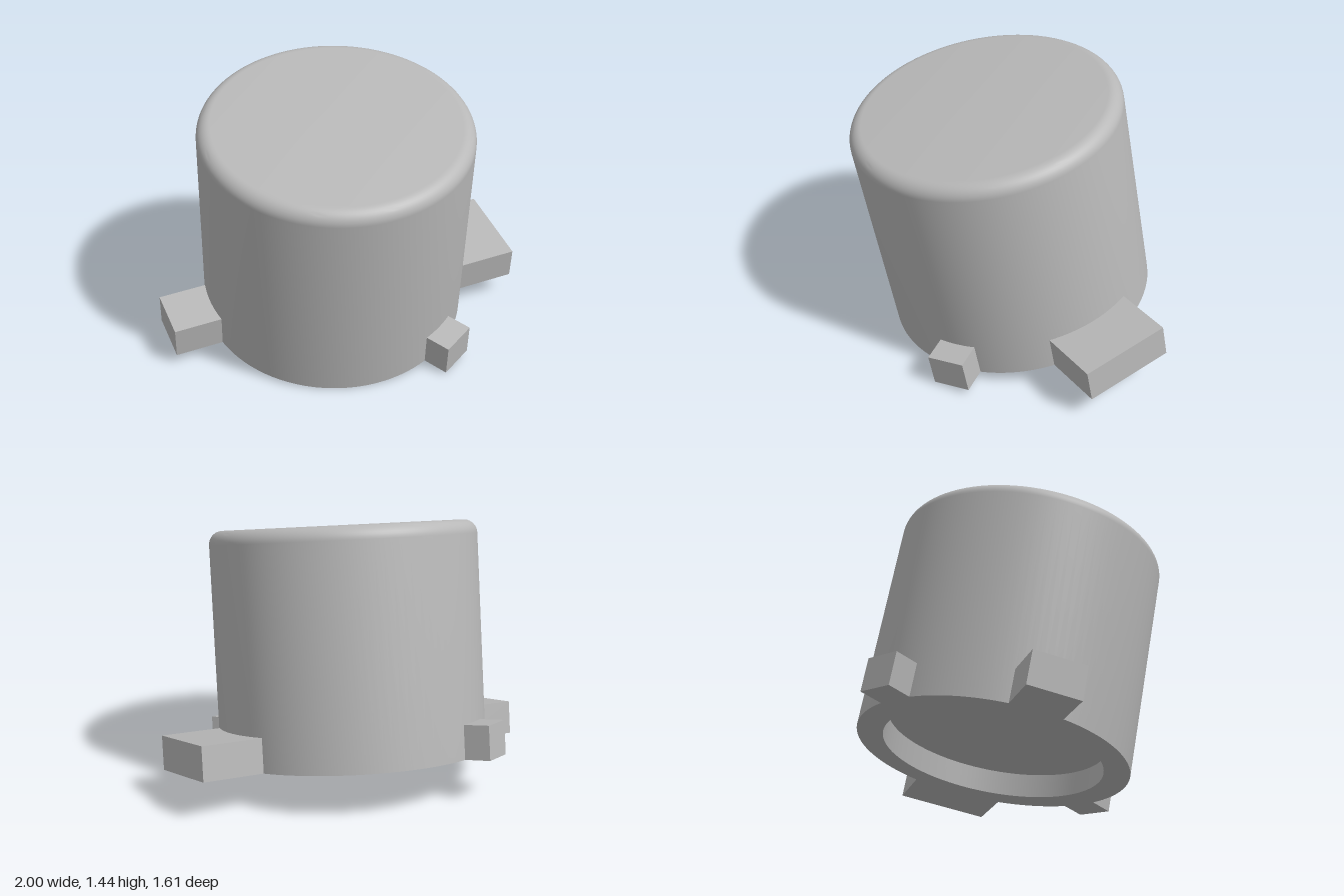
import * as THREE from 'three';
import { toCreasedNormals } from 'three/addons/utils/BufferGeometryUtils.js';

export function createModel() {
  const model = new THREE.Group();
  model.name = 'cap';
  const grey = new THREE.MeshStandardMaterial({ color: 0xb8b8b8 });
  grey.name = 'grey';

  // Leaning frame shared by the body and its tabs
  const tilted = new THREE.Group();
  tilted.name = 'tiltedCap';
  tilted.position.set(-0.035, 0.124, -0.1);
  tilted.rotation.x = THREE.MathUtils.degToRad(10);
  model.add(tilted);

  // Round body: shallow recess underneath, rounded top rim
  const R = 0.715, H = 1.222, fillet = 0.073;
  const profile = [[0, 0.13], [0.578, 0.13], [0.578, 0], [R, 0]]
    .map(([x, y]) => new THREE.Vector2(x, y));
  const steps = 10;
  for (let i = 0; i <= steps; i++) {
    const a = (i / steps) * Math.PI / 2;
    profile.push(new THREE.Vector2(R - fillet + fillet * Math.cos(a), H - fillet + fillet * Math.sin(a)));
  }
  profile.push(new THREE.Vector2(0, H));
  const body = new THREE.Mesh(toCreasedNormals(new THREE.LatheGeometry(profile, 96), 0.6), grey);
  body.name = 'body';
  tilted.add(body);

  // Locking tabs around the lower rim: direction, width, outer reach
  const inner = 0.62, tabHeight = 0.18;
  const tabs = [
    ['wideTab', 15, 0.484, 1.005],
    ['mediumTab', 195, 0.277, 0.961],
    ['smallBackTab', 135, 0.203, 0.846],
    ['smallFrontTab', 315, 0.203, 0.846],
  ];
  for (const [name, angle, width, outer] of tabs) {
    const geometry = new THREE.BoxGeometry(outer - inner, tabHeight, width);
    geometry.translate((outer + inner) / 2, tabHeight / 2, 0);
    const tab = new THREE.Mesh(geometry, grey);
    tab.name = name;
    tab.rotation.y = THREE.MathUtils.degToRad(angle);
    tilted.add(tab);
  }
  return model;
}
